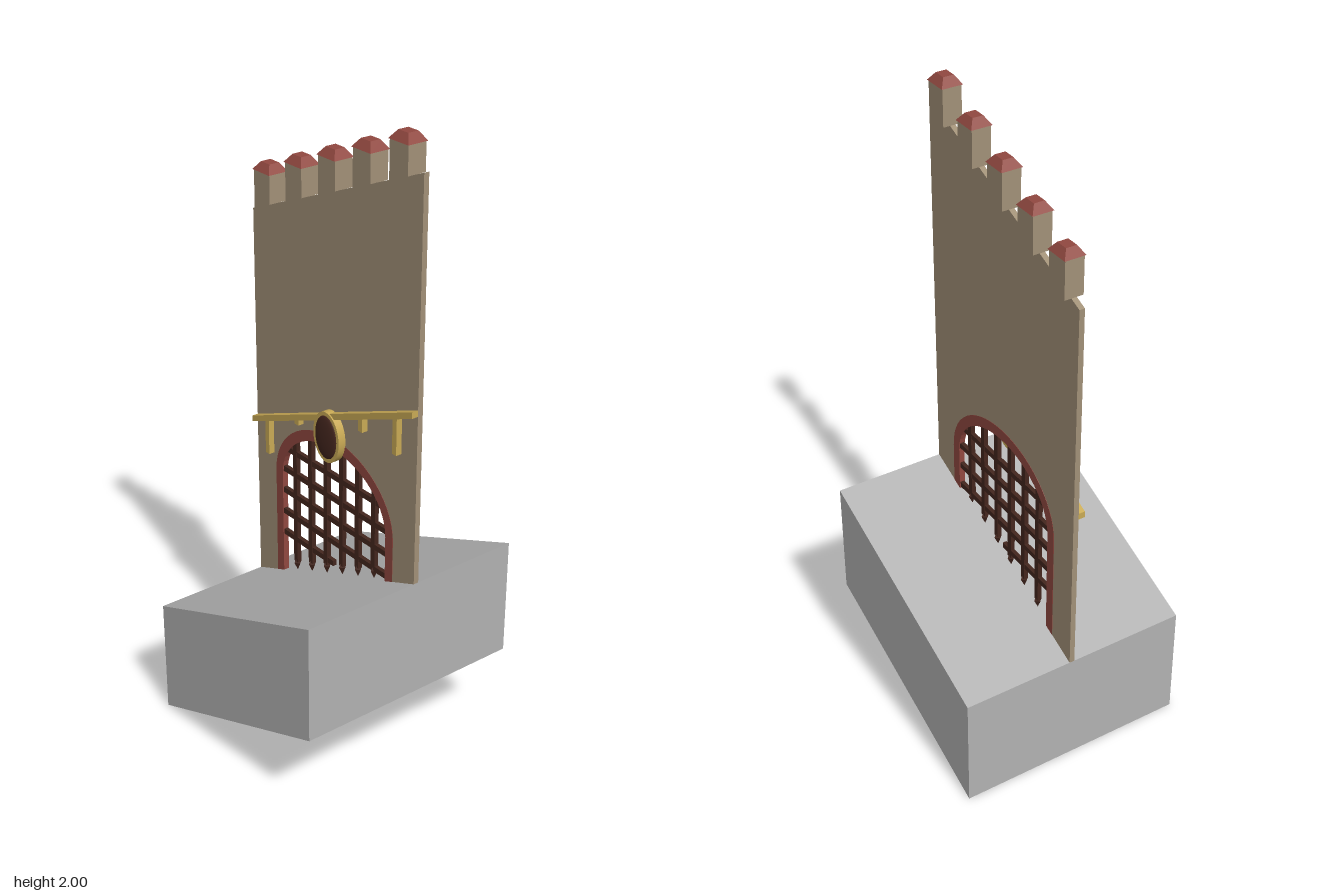
import * as THREE from 'three';

const SLOPE = 0.407;
const WALL_Z = -0.0115;
const ground = (x) => 0.53 + SLOPE * x;
const wallTop = (x) => 1.755 + SLOPE * x;

const mat = (name, color, flatShading = false) => {
  const m = new THREE.MeshStandardMaterial({ color, flatShading });
  m.name = name;
  return m;
};

export function createModel() {
  const stone = mat('grey stone', 0xb2b2b2);
  const sand = mat('sand wall', 0xa29178);
  const red = mat('red brick', 0x914840, true);
  const gold = mat('gold', 0xc9aa55);
  const iron = mat('dark brown iron', 0x44261e);

  const model = new THREE.Group();
  model.name = 'castleGate';

  const add = (name, geometry, material, x = 0, y = 0, z = 0, parent = model) => {
    const mesh = new THREE.Mesh(geometry, material);
    mesh.name = name;
    mesh.position.set(x, y, z);
    parent.add(mesh);
    return mesh;
  };
  const group = (name) => {
    const g = new THREE.Group();
    g.name = name;
    model.add(g);
    return g;
  };
  // Flat outline pushed from z0 to z1
  const slab = (points, z0, z1) => {
    const shape = new THREE.Shape(points.map(([x, y]) => new THREE.Vector2(x, y)));
    return new THREE.ExtrudeGeometry(shape, { depth: z1 - z0, bevelEnabled: false }).translate(0, 0, z0);
  };
  // Slanted four-sided outline between two height rules
  const slanted = (x0, x1, low, high) => [[x0, low(x0)], [x1, low(x1)], [x1, high(x1)], [x0, high(x0)]];

  // Arch line from the left foot over the top to the right foot
  const SPRING = 0.78;
  const arch = (a, b) => {
    const pts = [[-a, ground(-a)]];
    for (let i = 0; i <= 28; i++) {
      const t = Math.PI * (1 - i / 28);
      pts.push([a * Math.cos(t), SPRING + b * Math.sin(t)]);
    }
    pts.push([a, ground(a)]);
    return pts;
  };
  const IN_A = 0.247, IN_B = 0.185;
  const outer = arch(0.28, 0.22);
  const inner = arch(IN_A, IN_B);

  // Slanted ground block
  add('base', slab(slanted(-0.375, 0.375, (x) => ground(x) - 0.377, ground), -0.375, 0.375), stone);

  // Wall with the gateway cut out, and the brick frame around it
  add('wall', slab([
    [-0.375, ground(-0.375)], ...outer, [0.375, ground(0.375)],
    [0.375, wallTop(0.375)], [-0.375, wallTop(-0.375)],
  ], -0.02, -0.003), sand);
  add('archFrame', slab([...outer, ...inner.slice().reverse()], -0.021, -0.002), red);

  // Battlements with brick caps
  const battlements = group('battlements');
  for (let i = -2; i <= 2; i++) {
    const x = i * 0.15;
    const top = 1.855 + i * 0.06;
    add('merlon', slab(slanted(x - 0.037, x + 0.037, wallTop, () => top), WALL_Z - 0.03, WALL_Z + 0.03),
      sand, 0, 0, 0, battlements);
    const cap = new THREE.CylinderGeometry(Math.SQRT1_2 * 0.5, Math.SQRT1_2, 1, 4)
      .rotateY(Math.PI / 4).scale(0.08, 0.025, 0.067);
    add('merlonCap', cap, red, x, top + 0.0125, WALL_Z, battlements);
  }

  // Portcullis
  const gate = group('portcullis');
  const BAR = 0.018;
  for (let i = 0; i < 6; i++) {
    const x = (i - 2.5) * 0.075;
    const top = SPRING + IN_B * Math.sqrt(1 - (x / IN_A) ** 2) + 0.01;
    const bottom = ground(x) + 0.035;
    add('verticalBar', new THREE.BoxGeometry(BAR, top - bottom, 0.014), iron, x, (top + bottom) / 2, WALL_Z, gate);
    const spike = new THREE.OctahedronGeometry(1).scale(0.013, 0.028, 0.013);
    add('spike', spike, iron, x, ground(x) + 0.03, WALL_Z, gate);
  }
  for (let i = 0; i < 5; i++) {
    const y = 0.57 + i * 0.075;
    const half = y > SPRING ? IN_A * Math.sqrt(1 - ((y - SPRING) / IN_B) ** 2) + 0.005 : IN_A + 0.002;
    const right = i === 0 ? 0 : half;
    add('crossBar', new THREE.BoxGeometry(right + half, BAR, 0.013), iron, (right - half) / 2, y, WALL_Z, gate);
  }

  // Gold rail with hanging brackets
  const rail = (x) => 1.075 + SLOPE * x;
  const trim = group('goldTrim');
  add('rail', slab(slanted(-0.375, 0.375, (x) => rail(x) - 0.01, (x) => rail(x) + 0.01), -0.003, 0.018),
    gold, 0, 0, 0, trim);
  for (const [x, low] of [[-0.3, 0.832], [-0.15, 0.99], [0.15, 1.087], [0.3, 1.076]]) {
    add('bracket', slab(slanted(x - 0.009, x + 0.009, () => low, rail), -0.003, 0.016), gold, 0, 0, 0, trim);
  }

  // Oval medallion: gold disc with a domed dark centre
  const medallion = group('medallion');
  medallion.position.set(0, 1.01, 0);
  const disc = new THREE.CylinderGeometry(1, 1, 1, 40).rotateX(Math.PI / 2).scale(0.06, 0.081, 0.025);
  add('medallionRim', disc, gold, 0, 0, 0.0095, medallion);
  const dome = new THREE.SphereGeometry(1, 32, 10, 0, Math.PI * 2, 0, Math.PI / 2)
    .rotateX(Math.PI / 2).scale(0.049, 0.069, 0.009);
  add('medallionCentre', dome, iron, 0, 0, 0.022, medallion);

  return model;
}
